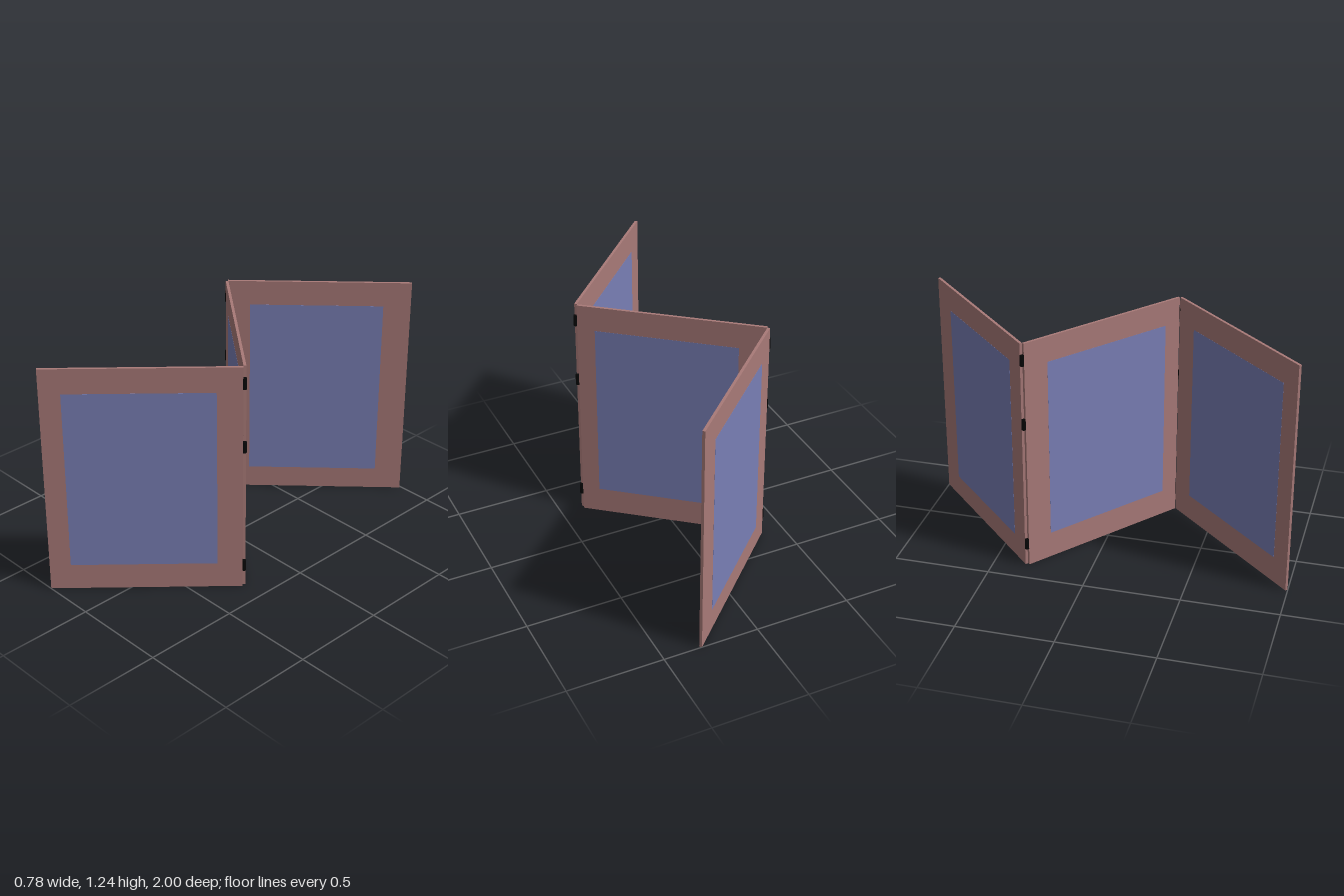
import * as THREE from 'three';

const HEIGHT = 1.24;
const THICK = 0.014;

const frameMat = new THREE.MeshStandardMaterial({ color: 0xa87a78 });
frameMat.name = 'dusty rose frame';
const fabricMat = new THREE.MeshStandardMaterial({ color: 0x797fb5 });
fabricMat.name = 'blue fabric';
const hingeMat = new THREE.MeshStandardMaterial({ color: 0x060606 });
hingeMat.name = 'black hinge';

function mesh(name, geometry, material) {
  const m = new THREE.Mesh(geometry, material);
  m.name = name;
  return m;
}

// One upright panel from start to end ([x, z] on the floor): a frame with a
// rectangular opening, filled by a fabric sheet that shows on both faces.
function makePanel(name, start, end, marginStart, marginEnd, bottom, top) {
  const dx = end[0] - start[0], dz = end[1] - start[1];
  const width = Math.hypot(dx, dz);
  const u0 = marginStart, u1 = width - marginEnd;

  const outline = new THREE.Shape();
  outline.moveTo(0, 0).lineTo(width, 0).lineTo(width, HEIGHT).lineTo(0, HEIGHT).closePath();
  const opening = new THREE.Path();
  opening.moveTo(u0, bottom).lineTo(u0, top).lineTo(u1, top).lineTo(u1, bottom).closePath();
  outline.holes.push(opening);
  const frameGeo = new THREE.ExtrudeGeometry(outline, { depth: THICK, bevelEnabled: false });
  frameGeo.translate(0, 0, -THICK / 2);

  const fabricGeo = new THREE.BoxGeometry(u1 - u0, top - bottom, THICK + 0.001);
  fabricGeo.translate((u0 + u1) / 2, (bottom + top) / 2, 0);

  const panel = new THREE.Group();
  panel.name = name;
  panel.add(mesh('frame', frameGeo, frameMat), mesh('fabric', fabricGeo, fabricMat));
  panel.position.set(start[0], 0, start[1]);
  panel.rotation.y = Math.atan2(-dz, dx);
  return panel;
}

// Three barrel hinges along one fold
function makeHinges(name, x, z) {
  const group = new THREE.Group();
  group.name = name;
  const barrel = new THREE.CylinderGeometry(0.011, 0.011, 0.058, 16);
  for (const y of [0.123, 0.806, 1.151]) {
    const hinge = mesh('hinge', barrel, hingeMat);
    hinge.position.set(x, y, z);
    group.add(hinge);
  }
  return group;
}

export function createModel() {
  const model = new THREE.Group();
  model.name = 'foldingScreen';
  model.add(
    // zigzag of panels, front to back
    makePanel('frontPanel', [-0.278, 0.994], [0.373, 0.286], 0.105, 0.125, 0.14, 1.107),
    makePanel('middlePanel', [-0.374, -0.322], [0.371, 0.274], 0.135, 0.09, 0.14, 1.107),
    makePanel('backPanel', [-0.376, -0.332], [0.305, -0.995], 0.115, 0.142, 0.12, 1.107),
    makeHinges('rightFoldHinges', -0.379, -0.327),
    makeHinges('leftFoldHinges', 0.377, 0.281),
  );
  return model;
}
